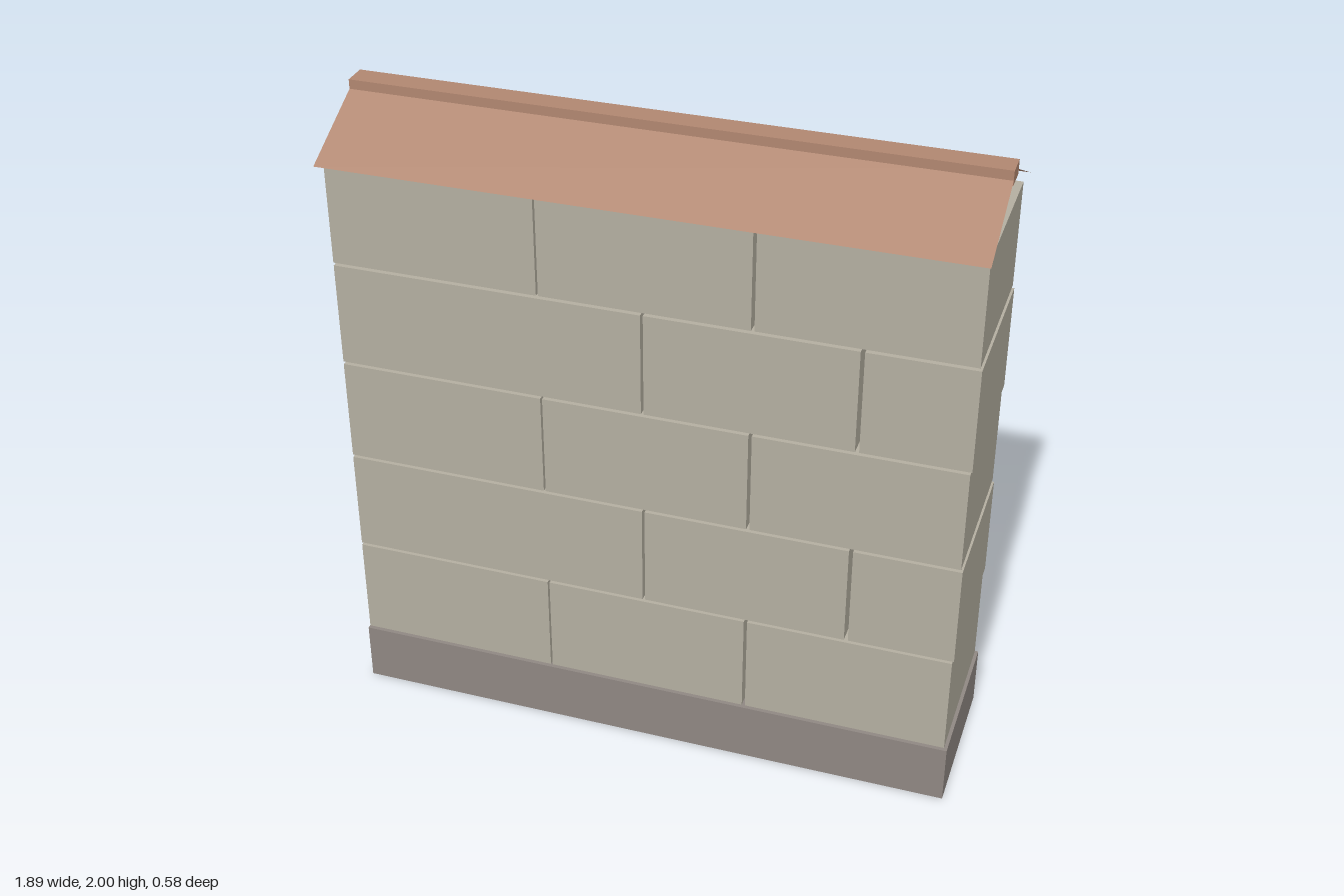
import * as THREE from 'three';

export function createModel() {
  const model = new THREE.Group();
  model.name = 'blockWall';
  const stone = new THREE.MeshStandardMaterial({ name: 'paleStone', color: 0xb3aea0 });
  const footing = new THREE.MeshStandardMaterial({ name: 'greyFooting', color: 0x8f8782 });
  const tile = new THREE.MeshStandardMaterial({ name: 'clayTile', color: 0xb08670, side: THREE.DoubleSide });

  // Box given by its x range, y range and half depth
  const addBox = (parent, name, material, x0, x1, y0, y1, halfDepth) => {
    const mesh = new THREE.Mesh(new THREE.BoxGeometry(x1 - x0, y1 - y0, halfDepth * 2), material);
    mesh.position.set((x0 + x1) / 2, (y0 + y1) / 2, 0);
    mesh.name = name;
    parent.add(mesh);
  };

  addBox(model, 'footing', footing, -0.945, 0.945, 0, 0.19, 0.246);

  // Five courses of full-depth blocks in running bond with open joints
  const courses = [
    [[-0.942, -0.319], [-0.313, 0.306], [0.316, 0.935]],
    [[-0.942, -0.012], [-0.004, 0.612], [0.624, 0.94]],
  ];
  for (let row = 0; row < 5; row++) {
    const course = new THREE.Group();
    course.name = `course${row + 1}`;
    const y = 0.194 + row * 0.331;
    courses[row % 2].forEach(([x0, x1], i) => addBox(course, `block${i + 1}`, stone, x0, x1, y, y + 0.322, 0.238));
    model.add(course);
  }

  // Two thin roof slopes, open at the ends, meeting inside the ridge
  const eaveZ = 0.291, eaveY = 1.845, apexY = 1.99;
  for (const side of [1, -1]) {
    const slope = new THREE.PlaneGeometry(1.89, Math.hypot(eaveZ, apexY - eaveY));
    slope.rotateX(-Math.PI / 2 + Math.atan2(apexY - eaveY, eaveZ));
    slope.translate(0, (eaveY + apexY) / 2, eaveZ / 2);
    if (side < 0) slope.rotateY(Math.PI);
    const mesh = new THREE.Mesh(slope, tile);
    mesh.name = side > 0 ? 'frontRoofSlope' : 'backRoofSlope';
    model.add(mesh);
  }

  addBox(model, 'ridgeCap', tile, -0.945, 0.945, 1.957, 2, 0.037);
  return model;
}
